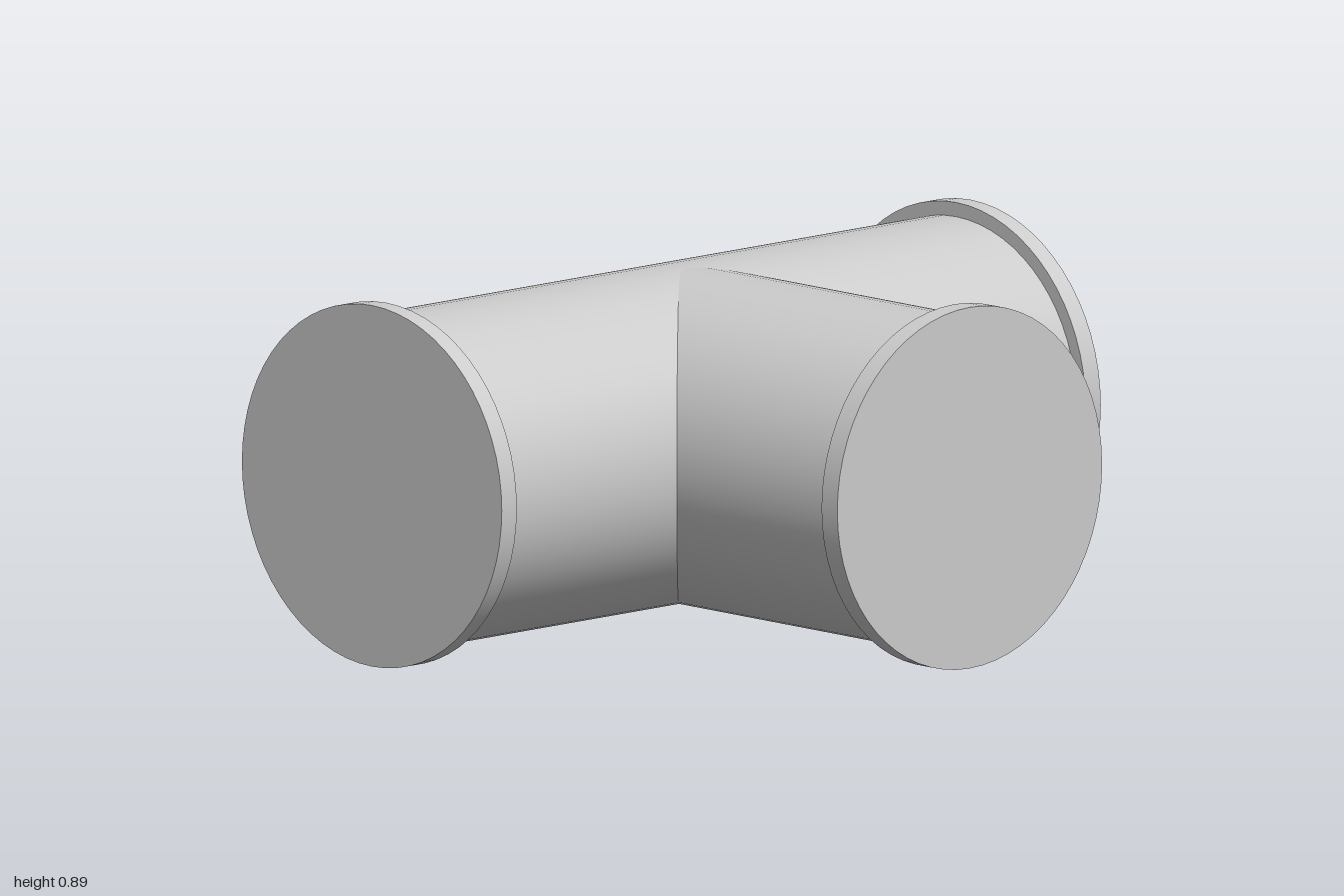
import * as THREE from 'three';

const material = new THREE.MeshStandardMaterial({ color: 0xcccccc });
const SEGMENTS = 64;
const AXIS_Y = 0.443;

// Elliptical cylinder running from one point to another along z
function tubeZ(name, rx, ry, z0, z1) {
  const geometry = new THREE.CylinderGeometry(1, 1, z1 - z0, SEGMENTS);
  geometry.rotateX(Math.PI / 2);
  geometry.scale(rx, ry, 1);
  geometry.translate(0, 0, (z0 + z1) / 2);
  const mesh = new THREE.Mesh(geometry, material);
  mesh.name = name;
  return mesh;
}

export function createModel() {
  const model = new THREE.Group();
  model.name = 'pipeTee';

  // Straight run with a closed rim at each end
  const run = new THREE.Group();
  run.name = 'mainRun';
  run.position.set(-0.282, AXIS_Y, 0);
  run.add(
    tubeZ('mainPipe', 0.421, 0.408, -0.97, 0.97),
    tubeZ('frontRim', 0.453, 0.443, 0.95, 1),
    tubeZ('backRim', 0.453, 0.443, -1, -0.95)
  );

  // Side branch, turned so its length follows +x
  const branch = new THREE.Group();
  branch.name = 'sideBranch';
  branch.position.set(-0.282, AXIS_Y, -0.024);
  branch.rotation.y = Math.PI / 2;
  branch.add(
    tubeZ('branchPipe', 0.409, 0.407, 0, 0.98),
    tubeZ('branchRim', 0.442, 0.443, 0.96, 1.015)
  );

  model.add(run, branch);
  return model;
}
